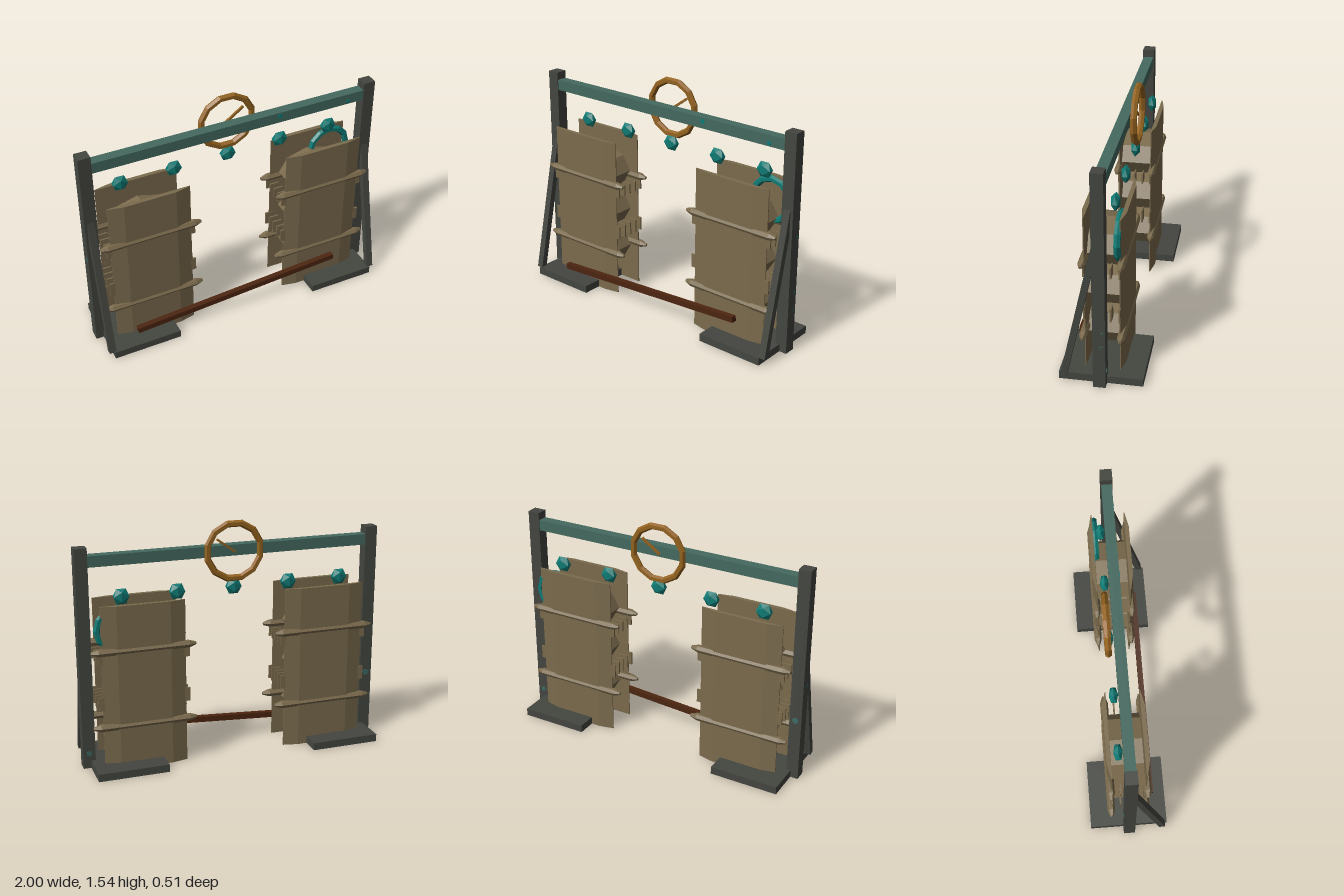
import * as THREE from 'three';

const mat = (name, color) => {
  const m = new THREE.MeshStandardMaterial({ color, flatShading: true });
  m.name = name;
  return m;
};

export function createModel() {
  const iron = mat('dark iron', 0x444640);
  const copper = mat('weathered copper', 0x44695f);
  const bronze = mat('bronze', 0x93621f);
  const teal = mat('teal', 0x0f7a74);
  const wood = mat('dark wood', 0x4c2510);
  const tan = mat('tan board', 0x7b6b4d);
  const patina = mat('patina', 0x3c6a64);

  const model = new THREE.Group();
  model.name = 'frame';
  const add = (name, geo, material, x, y, z, parent = model) => {
    const m = new THREE.Mesh(geo, material);
    m.name = name;
    m.position.set(x, y, z);
    parent.add(m);
    return m;
  };
  const box = (name, w, h, d, material, x, y, z, parent) =>
    add(name, new THREE.BoxGeometry(w, h, d), material, x, y, z, parent);
  // square bar between two points
  const bar = (name, a, b, w, d, material) => {
    const from = new THREE.Vector3(...a), to = new THREE.Vector3(...b);
    const dir = to.clone().sub(from);
    const mid = from.clone().add(to).multiplyScalar(0.5);
    const m = box(name, w, dir.length(), d, material, mid.x, mid.y, mid.z);
    m.quaternion.setFromUnitVectors(new THREE.Vector3(0, 1, 0), dir.normalize());
    return m;
  };

  // shallow bulged board, cut from its plan outline
  const plan = new THREE.Shape([[-0.27, 0], [0.27, 0], [0.27, 0.006], [0.17, 0.027], [-0.17, 0.027], [-0.27, 0.006]]
    .map(([x, y]) => new THREE.Vector2(x, y)));
  const boardGeo = new THREE.ExtrudeGeometry(plan, { depth: 1.08, bevelEnabled: false });
  boardGeo.rotateX(-Math.PI / 2).translate(0, 0, -0.103); // bulges towards -z
  const railGeo = new THREE.LatheGeometry(
    [[0, -0.335], [0.01, -0.335], [0.025, -0.29], [0.025, 0.29], [0.01, 0.335], [0, 0.335]]
      .map(([x, y]) => new THREE.Vector2(x, y)), 6);
  railGeo.rotateZ(Math.PI / 2);
  const drumGeo = new THREE.CylinderGeometry(0.14, 0.14, 0.2, 8);
  drumGeo.rotateX(Math.PI / 2).scale(1.47, 1, 1);

  for (const s of [-1, 1]) {
    // supports
    box('post', 0.08, 1.43, 0.076, iron, s * 0.96, 0.715, 0);
    box('foot', 0.455, 0.05, 0.515, iron, s * 0.7225, 0.025, 0);
    bar('brace', [s * 0.96, 0.04, 0.225], [s * 0.96, 0.95, 0.022], 0.045, 0.04, iron);

    // double-sided board tower
    const tower = new THREE.Group();
    tower.name = 'tower';
    tower.position.x = s * 0.604;
    model.add(tower);
    for (const side of [-1, 1]) {
      const board = add('board', boardGeo, tan, 0, 0, 0, tower);
      if (side > 0) board.rotation.y = Math.PI;
      for (const y of [0.295, 0.79]) add('rail', railGeo, tan, 0, y, side * 0.114, tower);
      // stacked teeth at the board edges
      for (const [y, h] of [[0.45, 0.09], [0.74, 0.07]])
        for (let i = -2; i <= 2; i++)
          box('tooth', 0.065, h, 0.01, tan, side * 0.263, y, i * 0.053, tower);
    }
    for (const y of [0.27, 0.543, 0.815]) add('drum', drumGeo, tan, 0, y, 0, tower);
  }

  // top beam and loose pole
  box('beam', 1.84, 0.07, 0.066, copper, 0, 1.345, 0);
  bar('pole', [-0.755, 0.092, 0.163], [0.69, 0.185, 0.163], 0.038, 0.036, wood);

  // hanging beads
  for (const x of [-0.725, -0.37, 0, 0.37, 0.725]) {
    const bead = add('bead', new THREE.IcosahedronGeometry(0.057, 0), teal, x, 1.12, -0.057);
    bead.scale.z = 0.55;
  }

  // wheel with its pointer, and the teal hoop
  const ring = add('wheel', new THREE.TorusGeometry(0.178, 0.022, 6, 12), bronze, 0, 1.35, -0.07);
  ring.rotation.z = Math.PI / 12;
  bar('pointer', [-0.01, 1.342, -0.068], [0.112, 1.43, -0.068], 0.014, 0.014, bronze);
  add('hoop', new THREE.TorusGeometry(0.134, 0.022, 6, 12), teal, 0.76, 0.925, -0.092);

  // thin patina spots
  const spot = (x, y, z, r, axis, material) => {
    const m = add('patinaSpot', new THREE.CylinderGeometry(r, r, 0.006, 7), material, x, y, z);
    if (axis === 'x') m.rotation.z = Math.PI / 2;
    else m.rotation.x = Math.PI / 2;
  };
  spot(0.32, 1.355, 0.033, 0.017, 'z', teal);
  spot(0.81, 1.33, 0.033, 0.015, 'z', teal);
  for (const [y, z, r] of [[0.77, -0.025, 0.014], [0.4, -0.022, 0.014], [0.285, -0.018, 0.018]])
    spot(1.0 - 0.003, y, z, r, 'x', patina);
  spot(-0.997, 0.66, 0.01, 0.018, 'x', patina);
  spot(0.96, 0.1, -0.038, 0.018, 'z', patina);
  spot(-0.96, 0.42, -0.038, 0.022, 'z', patina);

  return model;
}
